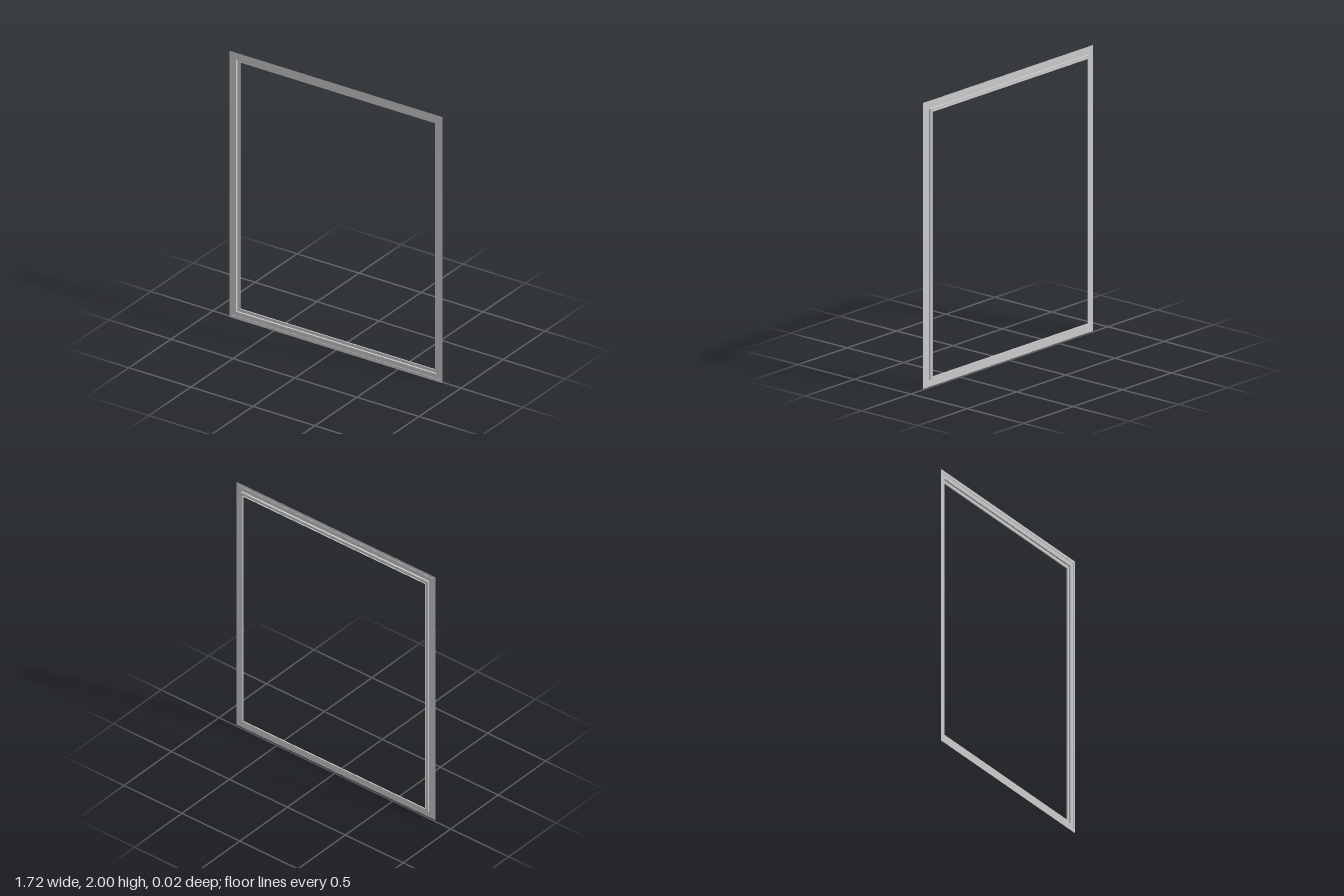
import * as THREE from 'three';

const HALF_W = 0.86, HEIGHT = 2;

// Pressed-sheet section: [inset from the outer edge, z]
const PROFILE = [
  [0, 0.012], [0.021, 0.012],
  [0.021, 0.009], [0.053, 0.009],
  [0.053, -0.004], [0.074, -0.004],
  [0.074, -0.012],
];
const NAMES = ['outerRim', 'rimStep', 'flange', 'flangeWall', 'innerLedge', 'openingWall'];

// Rectangular ring of corners, counter-clockwise from the front
function ring([inset, z]) {
  const x = HALF_W - inset, lo = inset, hi = HEIGHT - inset;
  return [[-x, lo, z], [x, lo, z], [x, hi, z], [-x, hi, z]];
}

// Mitred strip running round all four sides between two section points
function strip(from, to) {
  const a = ring(from), b = ring(to), pos = [];
  for (let i = 0; i < 4; i++) {
    const j = (i + 1) % 4;
    pos.push(...a[i], ...a[j], ...b[j], ...a[i], ...b[j], ...b[i]);
  }
  const geo = new THREE.BufferGeometry();
  geo.setAttribute('position', new THREE.Float32BufferAttribute(pos, 3));
  geo.computeVertexNormals();
  return geo;
}

export function createModel() {
  const frame = new THREE.Group();
  frame.name = 'steppedFrame';
  const metal = new THREE.MeshStandardMaterial({ color: 0xcccccc, side: THREE.DoubleSide });
  NAMES.forEach((name, i) => {
    const mesh = new THREE.Mesh(strip(PROFILE[i], PROFILE[i + 1]), metal);
    mesh.name = name;
    frame.add(mesh);
  });
  return frame;
}
